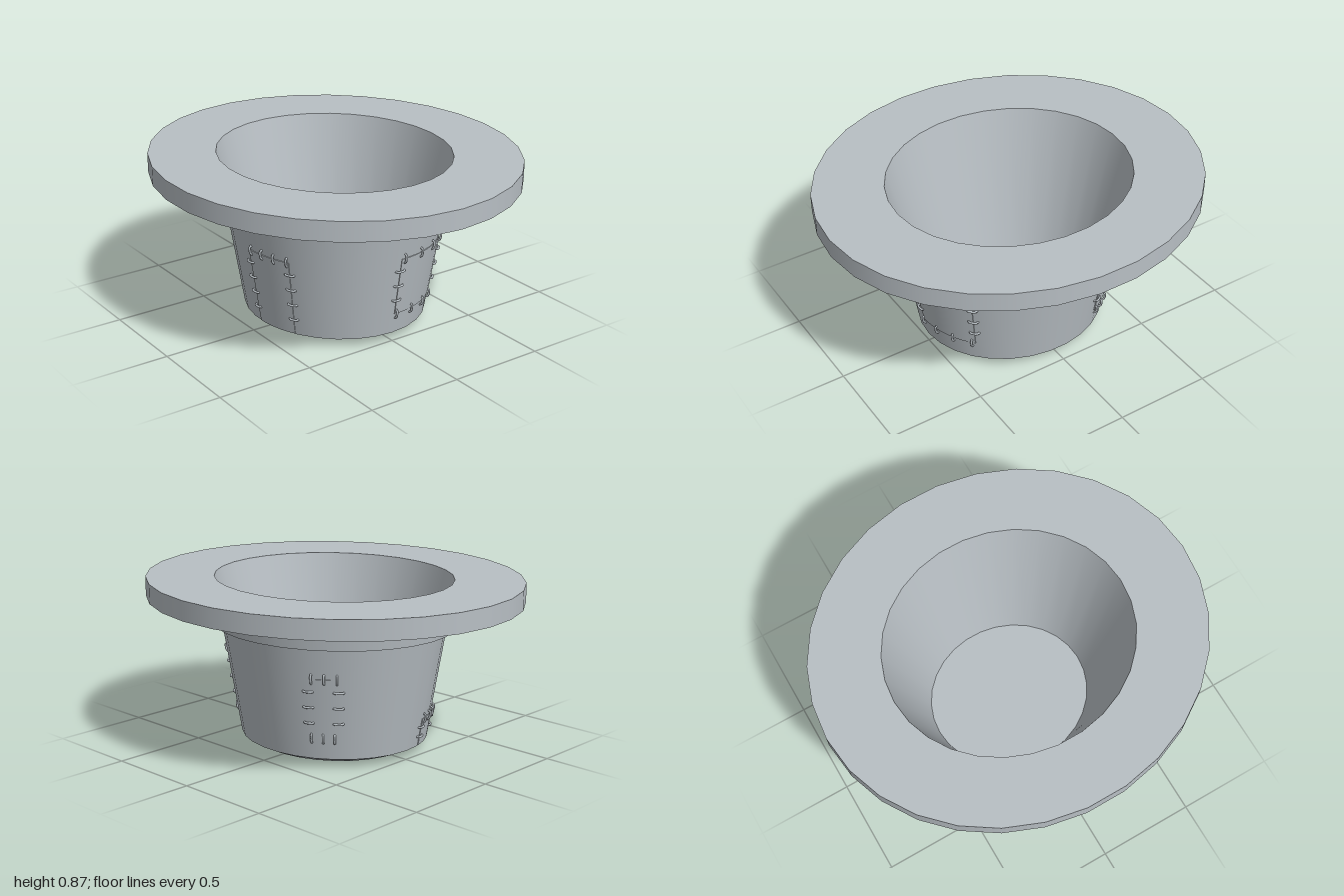
import * as THREE from 'three';

const SIDES = 30, SQUASH = 0.912;   // oval plan: x is narrower than z
const RAD = Math.PI / 180;

// Point on the crown wall at an angle (degrees from +z towards +x) and height
function wall(angle, y, offset) {
  const r = 0.5 + 0.1 * (y - 0.045) / 0.585 + offset;
  return new THREE.Vector3(SQUASH * r * Math.sin(angle * RAD), y, r * Math.cos(angle * RAD));
}

export function createModel() {
  const model = new THREE.Group();
  const felt = new THREE.MeshStandardMaterial({ color: 0xb8bfc4 });

  function add(parent, name, geometry) {
    const mesh = new THREE.Mesh(geometry, felt);
    mesh.name = name;
    parent.add(mesh);
  }

  // Upturned hat: each profile is its own lathe so that the rims stay sharp
  const profiles = {
    crownEnd: [[0, 0], [0.22, 0.006], [0.43, 0.014], [0.5, 0.045]],
    crownWall: [[0.5, 0.045], [0.6, 0.63]],
    bandLedge: [[0.6, 0.63], [0.65, 0.63]],
    band: [[0.65, 0.63], [0.668, 0.765]],
    brimUnderside: [[0.668, 0.765], [1, 0.765]],
    brimEdge: [[1, 0.765], [1, 0.865]],
    brimTop: [[1, 0.865], [0.635, 0.865]],
    innerWall: [[0.635, 0.865], [0.43, 0.06]],
    innerFloor: [[0.43, 0.06], [0, 0.06]],
  };
  for (const [name, points] of Object.entries(profiles)) {
    const geometry = new THREE.LatheGeometry(points.map(p => new THREE.Vector2(...p)), SIDES);
    add(model, name, geometry.scale(SQUASH, 1, 1));
  }

  // A small staple-shaped stitch lying across a seam
  function stitch(parent, angle, y, across) {
    const da = across ? 2.7 : 0, dy = across ? 0 : 0.024;
    const path = [[-1, -0.006], [-0.8, 0.009], [0.8, 0.009], [1, -0.006]]
      .map(([t, o]) => wall(angle + t * da, y + t * dy, o));
    add(parent, 'stitch', new THREE.TubeGeometry(new THREE.CatmullRomCurve3(path), 8, 0.006, 6));
  }

  // A thin patch bent around the wall, with stitches along its edges
  function patch(name, a0, a1, y0, y1, rows, columns, bottomStitches) {
    const group = new THREE.Group();
    group.name = name;
    const geometry = new THREE.BoxGeometry(1, 1, 1, 8, 1, 1);
    const pos = geometry.attributes.position;
    for (let i = 0; i < pos.count; i++) {
      const p = wall(
        THREE.MathUtils.lerp(a0, a1, pos.getX(i) + 0.5),
        THREE.MathUtils.lerp(y0, y1, pos.getY(i) + 0.5),
        pos.getZ(i) > 0 ? 0.003 : -0.006);
      pos.setXYZ(i, p.x, p.y, p.z);
    }
    geometry.computeVertexNormals();
    add(group, 'patchCloth', geometry);

    for (let i = 0; i < rows; i++) {
      const y = THREE.MathUtils.lerp(y0, y1, (i + 1) / (rows + 0.8));
      stitch(group, a0, y, true);
      stitch(group, a1, y, true);
    }
    for (let i = 0; i < columns; i++) {
      const t = i / (columns - 1);
      stitch(group, THREE.MathUtils.lerp(a0 + 2, a1 - 1, t), y1, false);
      if (bottomStitches) stitch(group, THREE.MathUtils.lerp(a0 + 1, a1 - 2, t), y0, false);
    }
    model.add(group);
  }
  patch('frontPatch', -0.5, 39.5, 0.155, 0.468, 3, 4, true);
  patch('leftPatch', 118, 134, 0.155, 0.468, 3, 3, true);
  patch('rightPatch', 271, 298, 0.048, 0.455, 4, 4, false);
  patch('backPatch', 193, 218, 0.048, 0.19, 2, 4, false);

  return model;
}
